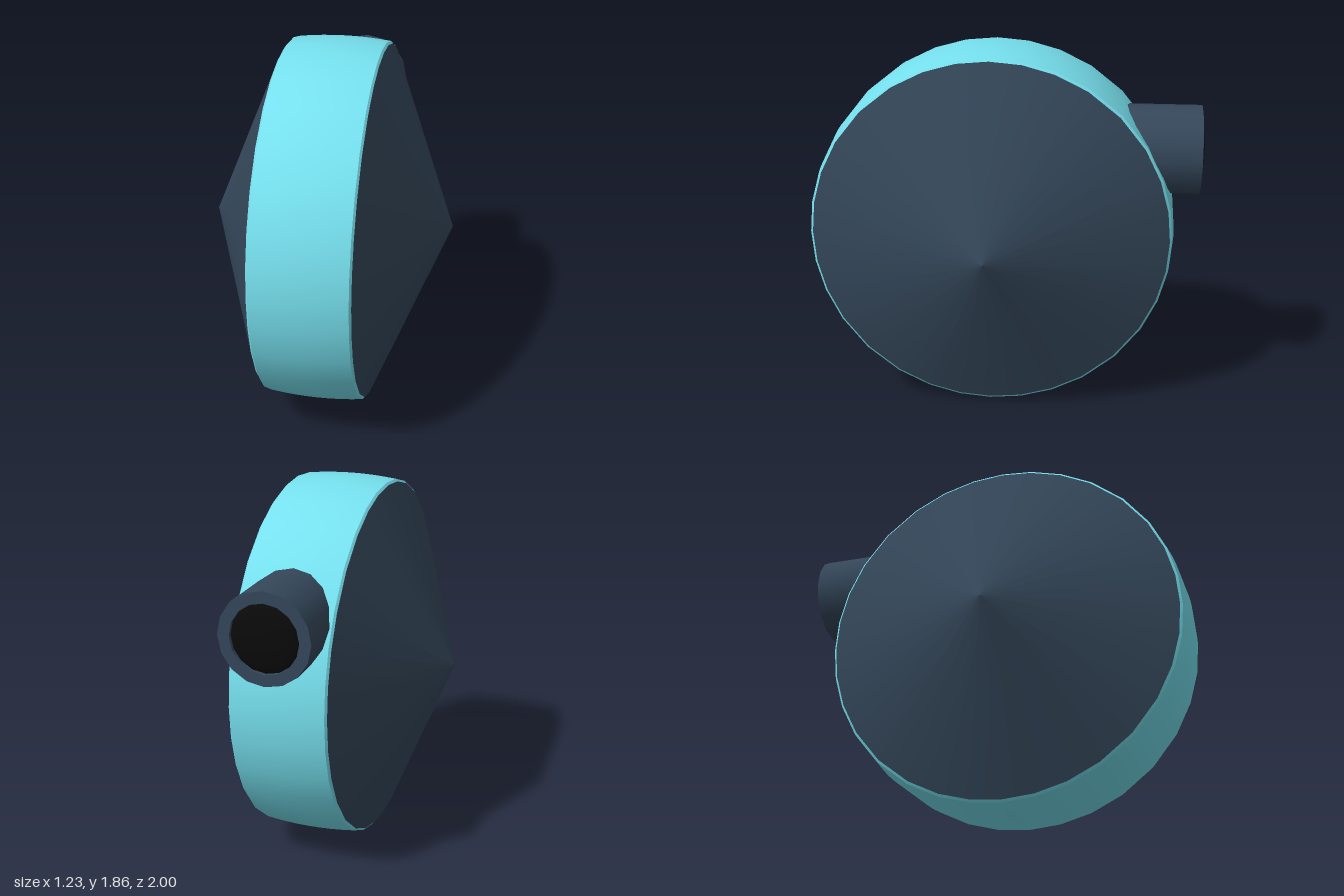
import * as THREE from 'three';

const V = (r, h) => new THREE.Vector2(r, h);
const CY = 0.93, CZ = 0.066; // centre of the round body

// Lathe around x; each 45 degree octant has four steps that are even along its chord
function wheelLathe(points) {
  const g = new THREE.LatheGeometry(points, 32);
  const pos = g.attributes.position, nor = g.attributes.normal;
  const stride = points.length;
  for (let i = 0; i < pos.count; i++) {
    const step = Math.floor(i / stride);
    const quarter = Math.round(step / 8);
    const k = step - quarter * 8;
    const delta = Math.asin((k / 4) * Math.SQRT1_2) - (k * Math.PI) / 16;
    const c = Math.cos(delta), s = Math.sin(delta);
    for (const a of [pos, nor]) {
      const x = a.getX(i), z = a.getZ(i);
      a.setXYZ(i, x * c + z * s, a.getY(i), z * c - x * s);
    }
  }
  return g.rotateZ(-Math.PI / 2);
}

export function createModel() {
  const model = new THREE.Group();
  const teal = new THREE.MeshStandardMaterial({ color: 0x76e0ee });
  const slate = new THREE.MeshStandardMaterial({ color: 0x34475a });
  const black = new THREE.MeshStandardMaterial({ color: 0x0a0a0a });

  const add = (parent, name, geometry, material) => {
    const mesh = new THREE.Mesh(geometry, material);
    mesh.name = name;
    parent.add(mesh);
    return mesh;
  };

  // Round body: slightly crowned band, narrow rim bevels, conical sides
  const body = new THREE.Group();
  body.name = 'body';
  body.position.set(0, CY, CZ);
  model.add(body);

  const crown = [];
  for (let i = -4; i <= 4; i++) {
    const t = i / 4;
    crown.push(V(0.931 - 0.015 * t * t, 0.235 * t));
  }
  add(body, 'band', wheelLathe(crown), teal);

  for (const [side, name] of [[1, 'left'], [-1, 'right']]) {
    const profile = (pts) => (side > 0 ? pts : pts.map((p) => V(p.x, -p.y)).reverse());
    add(body, name + 'RimBevel', wheelLathe(profile([V(0.916, 0.235), V(0.904, 0.245)])), teal);
    add(body, name + 'Cone', wheelLathe(profile([V(0.904, 0.245), V(0, 0.615)])), slate);
  }

  // Spout at the upper back, axis along -z
  const spout = new THREE.Group();
  spout.name = 'spout';
  spout.position.set(0, 1.345, 0);
  model.add(spout);

  const turned = (pts) => new THREE.LatheGeometry(pts, 16).rotateX(-Math.PI / 2);
  add(spout, 'spoutWall', turned([V(0.225, 0.5), V(0.225, 0.98)]), slate);
  add(spout, 'spoutLip', turned([V(0.225, 0.98), V(0.168, 0.98)]), slate);
  add(spout, 'spoutBore', turned([V(0.168, 0.98), V(0.168, 0.94)]), slate);

  // Dark domed plug that fills the mouth
  const dome = [];
  for (let i = 0; i <= 6; i++) {
    const a = (i / 6) * Math.PI / 2;
    dome.push(V(0.168 * Math.cos(a), 0.96 + 0.04 * Math.sin(a)));
  }
  add(spout, 'mouthPlug', turned(dome), black);

  return model;
}
